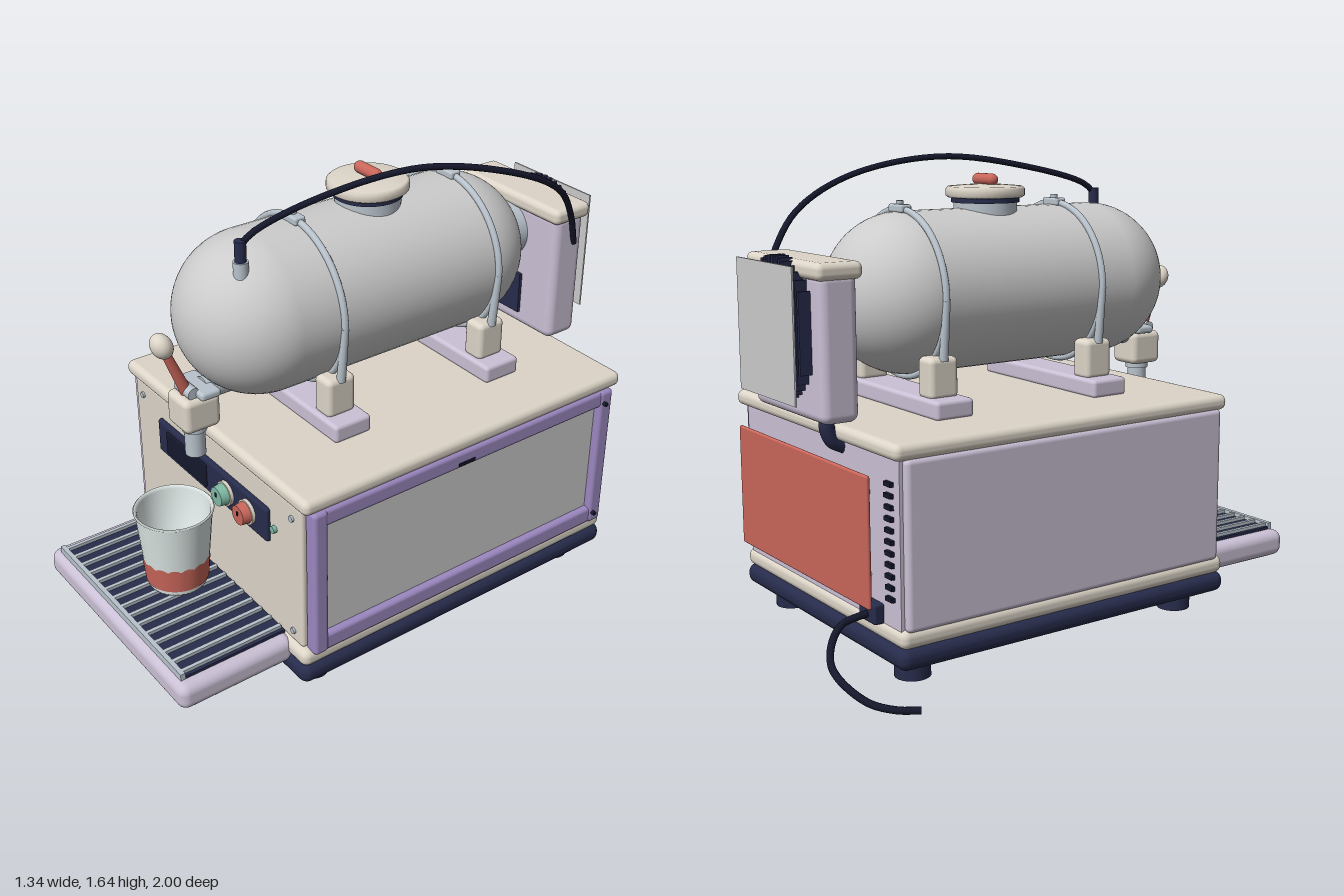
import * as THREE from 'three';
import { RoundedBoxGeometry } from 'three/addons/geometries/RoundedBoxGeometry.js';

const mat = (color, side = THREE.FrontSide) => new THREE.MeshStandardMaterial({ color, side });
const cream = mat(0xddd5c8), lavender = mat(0xcbc1d6), purple = mat(0x9c88c0), navy = mat(0x272c4c);
const red = mat(0xc9665a), green = mat(0x7fb8a4), steel = mat(0xb9c3cc), grey = mat(0xcccccc);
const dark = mat(0x15182c), glass = mat(0xdfe9e7, THREE.DoubleSide);
const CX = 0.09; // centre line of the machine

export function createModel() {
  const root = new THREE.Group();
  root.name = 'coffeeMachine';

  const add = (name, geo, material, x = 0, y = 0, z = 0) => {
    const m = new THREE.Mesh(geo, material);
    m.name = name;
    m.position.set(x, y, z);
    root.add(m);
    return m;
  };
  // box given by its limits, with optional edge rounding
  const box = (name, material, x0, x1, y0, y1, z0, z1, r = 0) => {
    const w = x1 - x0, h = y1 - y0, d = z1 - z0;
    const geo = r ? new RoundedBoxGeometry(w, h, d, 3, r) : new THREE.BoxGeometry(w, h, d);
    return add(name, geo, material, (x0 + x1) / 2, (y0 + y1) / 2, (z0 + z1) / 2);
  };
  // cylinder running between two points
  const rod = (name, material, a, b, r0, r1 = r0, seg = 28) => {
    const A = new THREE.Vector3(...a), B = new THREE.Vector3(...b);
    const m = add(name, new THREE.CylinderGeometry(r1, r0, A.distanceTo(B), seg), material);
    m.position.copy(A).add(B).multiplyScalar(0.5);
    m.quaternion.setFromUnitVectors(new THREE.Vector3(0, 1, 0), B.sub(A).normalize());
    return m;
  };
  const lathe = (name, material, pts, x, y, z, seg = 40) =>
    add(name, new THREE.LatheGeometry(pts.map(p => new THREE.Vector2(...p)), seg), material, x, y, z);
  const tube = (name, material, pts, r) => add(name, new THREE.TubeGeometry(
    new THREE.CatmullRomCurve3(pts.map(p => new THREE.Vector3(...p))), 48, r, 10), material);

  // base, feet and housing
  for (const x of [-0.33, 0.51]) for (const z of [0.47, -0.65])
    rod('foot', navy, [x, 0, z], [x, 0.09, z], 0.06);
  box('basePlate', navy, -0.47, 0.645, 0.07, 0.145, -0.77, 0.595, 0.034);
  box('lowerTrim', cream, -0.465, 0.64, 0.14, 0.205, -0.765, 0.59, 0.028);
  box('topPlate', cream, -0.47, 0.645, 0.745, 0.8, -0.785, 0.585, 0.024);
  box('housing', lavender, -0.44, 0.61, 0.18, 0.76, -0.755, 0.55);
  box('frontPanel', cream, -0.43, 0.605, 0.2, 0.75, 0.54, 0.572, 0.012);
  box('leftoverSidePanel', lavender, -0.468, -0.43, 0.195, 0.75, -0.745, 0.56, 0.018).name = 'rightSidePanel';

  // framed window side
  box('sidePanel', grey, 0.6, 0.627, 0.25, 0.7, -0.69, 0.51);
  for (const [z0, z1] of [[0.5, 0.557], [-0.742, -0.682]])
    box('frameUpright', purple, 0.6, 0.655, 0.19, 0.752, z0, z1, 0.015);
  for (const [y0, y1] of [[0.19, 0.258], [0.688, 0.752]])
    box('frameRail', purple, 0.6, 0.65, y0, y1, -0.72, 0.54, 0.015);
  box('sidePlate', dark, 0.645, 0.654, 0.702, 0.712, -0.1, -0.03);
  for (const y of [0.235, 0.705]) rod('sideScrew', dark, [0.65, y, -0.7], [0.668, y, -0.7], 0.008);

  // front controls
  for (const x of [-0.375, 0.555]) for (const y of [0.245, 0.695])
    rod('screw', steel, [x, y, 0.565], [x, y, 0.58], 0.011);
  box('controlPanel', navy, -0.255, 0.43, 0.53, 0.66, 0.56, 0.588, 0.01);
  box('display', dark, -0.19, 0.07, 0.55, 0.64, 0.58, 0.594, 0.005);
  for (const [x, m] of [[0.195, green], [0.325, red]]) {
    rod('knobCollar', cream, [x, 0.597, 0.58], [x, 0.597, 0.6], 0.044);
    rod('knob', m, [x, 0.597, 0.595], [x, 0.597, 0.63], 0.039, 0.034);
    box('knobMark', dark, x - 0.004, x + 0.004, 0.597, 0.612, 0.628, 0.633);
  }
  rod('indicatorLamp', green, [0.457, 0.597, 0.565], [0.457, 0.597, 0.585], 0.013);

  // drip tray with slatted grate
  box('dripTray', lavender, -0.37, 0.55, 0.107, 0.205, 0.56, 1, 0.035);
  box('trayGrateBed', navy, -0.325, 0.505, 0.19, 0.215, 0.575, 0.965);
  for (let i = 0; i < 15; i++) {
    const x = -0.305 + i * 0.79 / 14;
    box('grateSlat', steel, x - 0.007, x + 0.007, 0.21, 0.227, 0.58, 0.965);
  }
  box('grateFrontBar', steel, -0.325, 0.505, 0.2, 0.229, 0.958, 0.975);

  // cup with drink
  lathe('cup', glass, [[0, 0], [0.1, 0], [0.105, 0.01], [0.131, 0.285], [0.137, 0.292], [0.131, 0.298],
    [0.124, 0.285], [0.1, 0.03], [0, 0.03]], CX, 0.243, 0.735);
  const drink = new THREE.CylinderGeometry(0.1165, 0.1085, 0.085, 64, 1, true);
  const dp = drink.attributes.position;
  for (let i = 0; i < dp.count; i++) if (dp.getY(i) > 0) // wavy upper edge
    dp.setY(i, dp.getY(i) + 0.009 * Math.abs(Math.sin(Math.atan2(dp.getZ(i), dp.getX(i)) * 8)));
  drink.computeVertexNormals();
  add('drinkBand', drink, red, CX, 0.307, 0.735);
  rod('drinkSurface', red, [CX, 0.27, 0.735], [CX, 0.35, 0.735], 0.1, 0.106);

  // horizontal tank
  const tank = add('tank', new THREE.CapsuleGeometry(0.277, 0.79, 20, 56), grey, CX, 1.178, -0.012);
  tank.rotation.x = Math.PI / 2;

  // cradles and straps
  for (const z of [0.232, -0.418]) {
    box('cradleBase', lavender, -0.243, 0.423, 0.795, 0.86, z - 0.073, z + 0.073, 0.014);
    add('strap', new THREE.TorusGeometry(0.284, 0.012, 10, 64), steel, CX, 1.178, z);
    box('strapBuckle', steel, CX - 0.043, CX + 0.043, 1.45, 1.478, z - 0.022, z + 0.022, 0.008);
    rod('buckleBolt', steel, [CX, 1.47, z], [CX, 1.49, z], 0.012);
    for (const s of [-1, 1]) {
      const x = CX + s * 0.228;
      box('cradlePost', cream, x - 0.043, x + 0.043, 0.85, 0.992, z - 0.056, z + 0.056, 0.02);
      rod('strapRod', steel, [CX + s * 0.262, 0.98, z], [CX + s * 0.285, 1.18, z], 0.016, 0.012);
    }
  }

  // filler lid
  const LZ = -0.07;
  rod('fillerNeck', steel, [CX, 1.4, LZ], [CX, 1.475, LZ], 0.112);
  rod('lidGasket', navy, [CX, 1.473, LZ], [CX, 1.492, LZ], 0.12);
  lathe('lid', cream, [[0, 0], [0.13, 0], [0.139, 0.007], [0.139, 0.03], [0.13, 0.038], [0.06, 0.044], [0, 0.046]],
    CX, 1.49, LZ);
  add('lidHandle', new THREE.CapsuleGeometry(0.021, 0.085, 8, 20), red, CX, 1.551, LZ).rotation.z = Math.PI / 2;

  // dispensing tap
  rod('tapPipe', steel, [CX, 0.955, 0.48], [CX, 0.955, 0.6], 0.04);
  box('tapBody', cream, 0.026, 0.154, 0.835, 0.958, 0.567, 0.702, 0.022);
  rod('tapSpout', steel, [CX, 0.722, 0.637], [CX, 0.85, 0.637], 0.035);
  rod('tapSpoutRim', steel, [CX, 0.815, 0.637], [CX, 0.84, 0.637], 0.042);
  box('tapBracket', steel, 0.008, 0.172, 0.955, 0.985, 0.575, 0.65, 0.012);
  rod('tapPivot', steel, [0.045, 0.972, 0.657], [0.135, 0.972, 0.657], 0.022);
  rod('tapLever', red, [CX, 0.965, 0.66], [CX, 1.13, 0.728], 0.02, 0.015);
  const knob = add('tapLeverKnob', new THREE.SphereGeometry(0.043, 28, 18), cream, CX, 1.157, 0.739);
  knob.scale.set(1, 1.05, 0.82);
  knob.rotation.x = 0.38;

  // rear cooling unit
  rod('tankOutlet', steel, [CX, 1.178, -0.55], [CX, 1.178, -0.73], 0.103);
  box('coolerBody', lavender, -0.155, 0.335, 0.81, 1.29, -0.855, -0.72, 0.03);
  box('coolerCap', cream, -0.167, 0.347, 1.268, 1.325, -0.87, -0.705, 0.022);
  box('coolerFrontPlate', navy, 0, 0.18, 0.865, 1.02, -0.725, -0.708);
  rod('fanHub', red, [CX, 0.97, -0.85], [CX, 0.97, -0.893], 0.09);
  for (let i = 0; i < 15; i++) {
    const u = i / 7 - 1, h = 0.235 * Math.sqrt(1 - 0.68 * u * u);
    box('coolingFin', navy, CX + u * 0.172 - 0.006, CX + u * 0.172 + 0.006, 1.1 - h, 1.1 + h, -0.897, -0.85);
  }
  box('rearShield', grey, -0.107, 0.287, 0.875, 1.315, -0.928, -0.922);
  tube('coolerPipe', navy, [[-0.08, 0.83, -0.8], [-0.08, 0.79, -0.805], [-0.08, 0.745, -0.785], [-0.08, 0.72, -0.74]], 0.026);

  // rear panel and vents
  box('rearPanel', red, -0.36, 0.54, 0.26, 0.69, -0.825, -0.81, 0.007);
  for (const x of [-0.25, 0.43]) for (const y of [0.34, 0.61])
    rod('rearStandoff', steel, [x, y, -0.75], [x, y, -0.815], 0.012);
  for (let i = 0; i < 11; i++)
    box('ventSlot', dark, -0.405, -0.365, 0.285 + i * 0.037, 0.3 + i * 0.037, -0.768, -0.75);

  // hose over the tank
  rod('hoseSocket', steel, [0.204, 1.37, 0.507], [0.204, 1.43, 0.507], 0.025);
  rod('hoseFitting', navy, [0.204, 1.42, 0.507], [0.204, 1.5, 0.507], 0.019);
  tube('hose', dark, [[0.204, 1.48, 0.507], [0.21, 1.515, 0.47], [0.235, 1.58, 0.24], [0.315, 1.625, -0.11],
    [0.41, 1.565, -0.42], [0.405, 1.45, -0.64], [0.36, 1.31, -0.757], [0.335, 1.18, -0.81]], 0.011);

  // power cord
  box('cordSocket', navy, -0.335, -0.235, 0.195, 0.262, -0.79, -0.75, 0.008);
  tube('powerCord', dark, [[-0.285, 0.225, -0.77], [-0.295, 0.205, -0.89], [-0.41, 0.13, -0.985],
    [-0.55, 0.06, -0.95], [-0.62, 0.042, -0.89], [-0.665, 0.04, -0.825]], 0.012);

  return root;
}
